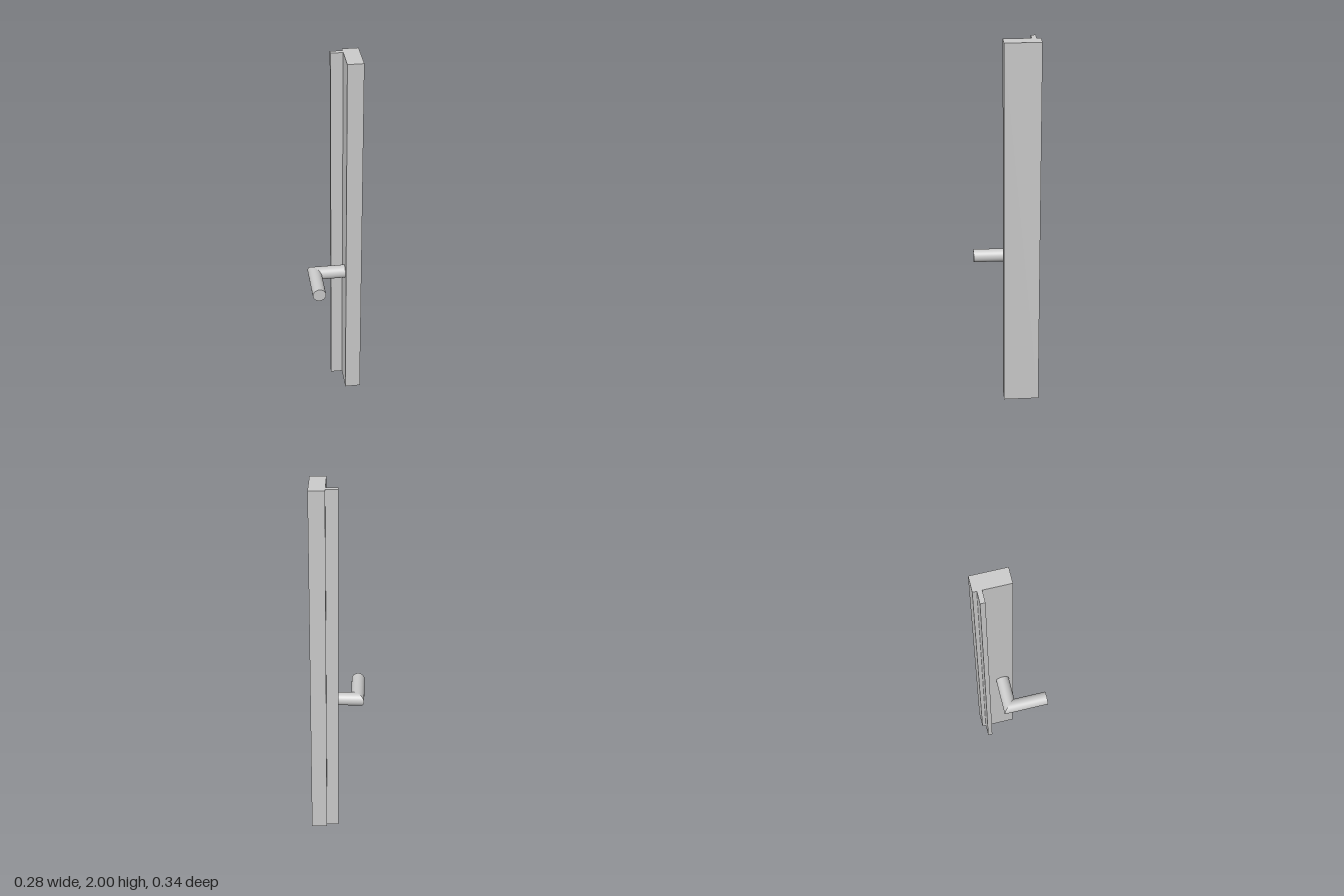
import * as THREE from 'three';

const material = new THREE.MeshStandardMaterial({ color: 0xcccccc });
const R = 0.035; // handle radius
const corner = new THREE.Vector3(-0.105, 0.76, -0.038); // where the handle axes meet

function addMesh(group, name, geometry) {
  const mesh = new THREE.Mesh(geometry, material);
  mesh.name = name;
  group.add(mesh);
}

// Round bar leaving the corner along an axis, its near end cut at 45 degrees
function mitredBar(axis, across, length) {
  const geo = new THREE.CylinderGeometry(R, R, length, 40);
  geo.translate(0, length / 2, 0);
  if (axis === 'x') geo.rotateZ(-Math.PI / 2);
  else geo.rotateX(Math.PI / 2);
  const pos = geo.attributes.position;
  const v = new THREE.Vector3();
  for (let i = 0; i < pos.count; i++) {
    v.fromBufferAttribute(pos, i);
    if (v[axis] < length / 2) v[axis] = v[across];
    pos.setXYZ(i, v.x, v.y, v.z);
  }
  return geo.translate(corner.x, corner.y, corner.z);
}

export function createModel() {
  const group = new THREE.Group();
  group.name = 'doorEdgeWithHandle';

  // Tall stile with a narrow tongue, as one extruded section (x, -z)
  const section = new THREE.Shape([
    [0.057, -0.02], [0.14, -0.02], [0.14, 0.168], [0.057, 0.168],
    [0.057, 0.147], [-0.006, 0.147], [-0.006, 0.122], [0.057, 0.122],
  ].map(([x, y]) => new THREE.Vector2(x, y)));
  const stile = new THREE.ExtrudeGeometry(section, { depth: 2, bevelEnabled: false });
  stile.rotateX(-Math.PI / 2);
  addMesh(group, 'stile', stile);

  // L-shaped lever handle
  const handle = new THREE.Group();
  handle.name = 'handle';
  addMesh(handle, 'handleArm', mitredBar('x', 'z', 0.057 - corner.x));
  addMesh(handle, 'handleGrip', mitredBar('z', 'x', 0.168 - corner.z));
  group.add(handle);

  return group;
}
